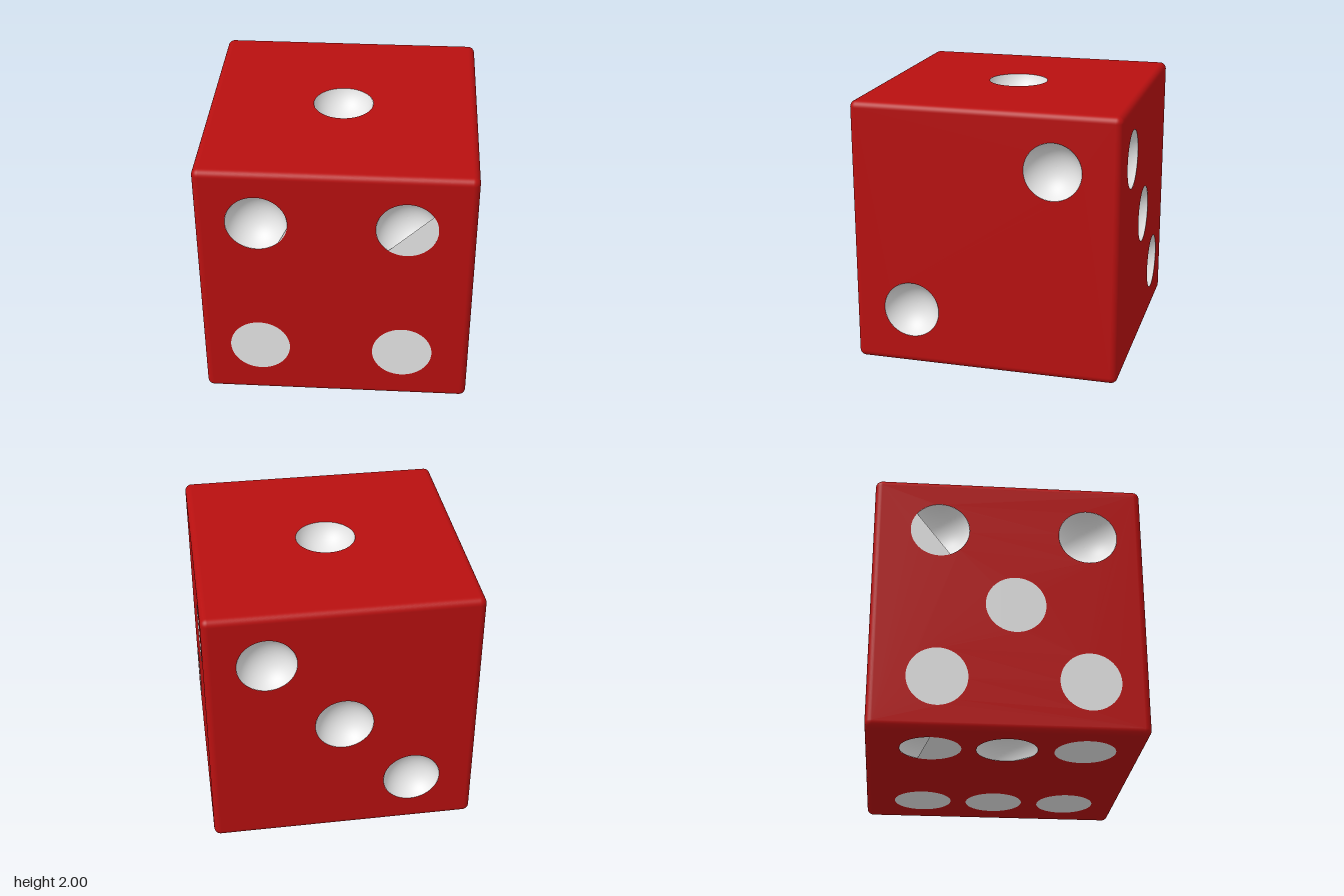
import * as THREE from 'three';
import { RoundedBoxGeometry } from 'three/addons/geometries/RoundedBoxGeometry.js';

const BEVEL = 0.05;
const SEGMENTS = 48;
const SPHERE = 0.23; // radius of the ball that scoops out each pip

// Pips are [u, v, radius, capStart, capEnd]; the cap angles (degrees) bound
// the flush part of a pip, 0 to 360 being fully flat.
const FACES = [
  { name: 'front', rot: [0, 0], pips: [
    [-0.56, 0.58, 0.222, -46, -8], [0.51, 0.565, 0.222, -126, 34],
    [-0.57, -0.555, 0.224, 0, 360], [0.5, -0.57, 0.224, 0, 360]] },
  { name: 'right', rot: [0, Math.PI / 2], pips: [
    [0.51, 0.58, 0.212], [-0.56, -0.57, 0.212]] },
  { name: 'back', rot: [0, Math.PI], pips: [
    [-0.555, 0.59, 0.216], [0, 0, 0.216], [0.52, -0.58, 0.216]] },
  { name: 'left', rot: [0, -Math.PI / 2], pips: [
    [-0.51, 0.58, 0.218, 143, 291], [0.59, 0.57, 0.218], [0.05, -0.02, 0.22, 0, 360],
    [-0.51, -0.605, 0.22, 0, 360], [0.58, -0.61, 0.22, 0, 360]] },
  { name: 'top', rot: [-Math.PI / 2, 0], pips: [[0, 0, 0.223]] },
  { name: 'bottom', rot: [Math.PI / 2, 0], pips: [
    [0.56, -0.555, 0.222, 0, 360], [0.56, 0.01, 0.222, 0, 360], [0.555, 0.58, 0.222, 0, 360],
    [-0.61, -0.535, 0.222, -23, 183], [-0.62, 0.015, 0.222, 20, 60], [-0.625, 0.58, 0.222, 0, 360]] },
];

// Rounded cube with its six flat faces removed, leaving edges and corners
function roundedFrame() {
  const box = new RoundedBoxGeometry(2, 2, 2, 5, BEVEL);
  const src = box.index ? box.toNonIndexed() : box;
  const p = src.attributes.position.array, n = src.attributes.normal.array;
  const pos = [], nor = [];
  for (let i = 0; i < p.length; i += 9) {
    const flat = [0, 1, 2].some((a) =>
      [0, 3, 6].every((k) => Math.abs(p[i + k + a]) > 0.9995));
    if (flat) continue;
    pos.push(...p.slice(i, i + 9));
    nor.push(...n.slice(i, i + 9));
  }
  const g = new THREE.BufferGeometry();
  g.setAttribute('position', new THREE.Float32BufferAttribute(pos, 3));
  g.setAttribute('normal', new THREE.Float32BufferAttribute(nor, 3));
  return g;
}

// Square face with a round hole for every pip
function facePlate(pips) {
  const h = 1 - BEVEL;
  const shape = new THREE.Shape([
    new THREE.Vector2(-h, -h), new THREE.Vector2(h, -h),
    new THREE.Vector2(h, h), new THREE.Vector2(-h, h)]);
  for (const [u, v, r] of pips) {
    shape.holes.push(new THREE.Path().absarc(u, v, r, 0, Math.PI * 2, true));
  }
  return new THREE.ShapeGeometry(shape, SEGMENTS);
}

// Spherical bowl opening towards +z
function bowl(r) {
  const rim = Math.asin(r / SPHERE), offset = SPHERE * Math.cos(rim);
  const profile = [];
  for (let i = 0; i <= 16; i++) {
    const a = rim * (1 - i / 16);
    profile.push(new THREE.Vector2(SPHERE * Math.sin(a), offset - SPHERE * Math.cos(a)));
  }
  return new THREE.LatheGeometry(profile, SEGMENTS).rotateX(Math.PI / 2);
}

// Flat disc, or the part of it cut off by a chord
function cap(r, start, end) {
  const rad = THREE.MathUtils.degToRad;
  const shape = new THREE.Shape().absarc(0, 0, r, rad(start), rad(end), false);
  return new THREE.ShapeGeometry(shape, SEGMENTS);
}

export function createModel() {
  const red = new THREE.MeshStandardMaterial({ color: 0xb81010 });
  red.name = 'red';
  const white = new THREE.MeshStandardMaterial({ color: 0xe9e9e9, side: THREE.DoubleSide });
  white.name = 'white';

  const die = new THREE.Group();
  die.name = 'die';
  const add = (parent, geometry, material, name, x = 0, y = 0, z = 0) => {
    const mesh = new THREE.Mesh(geometry, material);
    mesh.name = name;
    mesh.position.set(x, y, z);
    parent.add(mesh);
  };

  const body = new THREE.Group();
  body.name = 'body';
  body.position.y = 1;
  die.add(body);
  add(body, roundedFrame(), red, 'roundedEdges');

  for (const { name, rot, pips } of FACES) {
    const face = new THREE.Group();
    face.name = name + 'Side';
    face.rotation.set(rot[0], rot[1], 0);
    body.add(face);
    add(face, facePlate(pips), red, name + 'Face', 0, 0, 1);
    for (const [u, v, r, start, end] of pips) {
      if (end !== 360) add(face, bowl(r), white, 'pipBowl', u, v, 1);
      if (end !== undefined) add(face, cap(r, start, end), white, 'pipCap', u, v, 1);
    }
  }
  return die;
}
